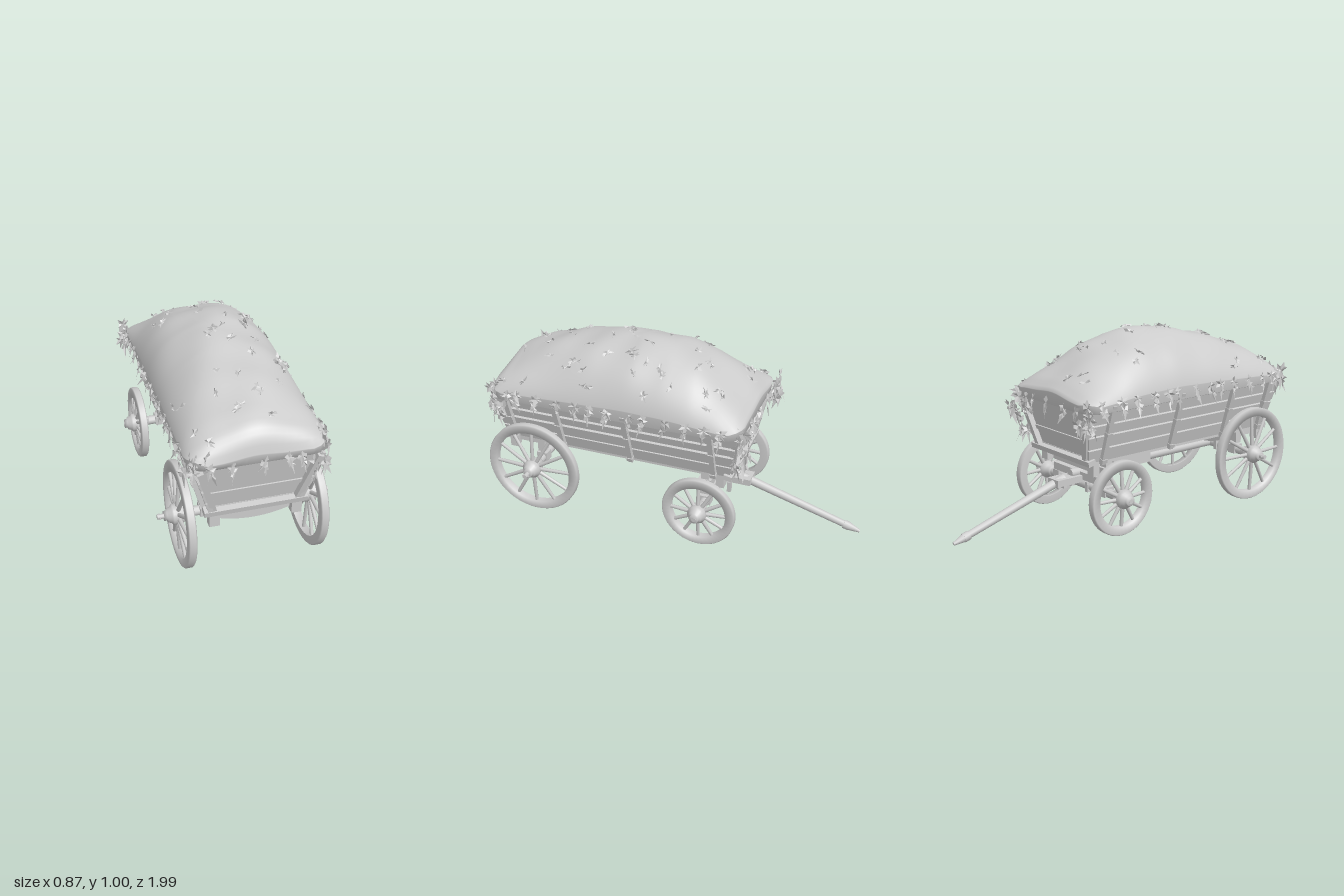
import * as THREE from 'three';
import { mergeGeometries } from 'three/addons/utils/BufferGeometryUtils.js';

const mat = new THREE.MeshStandardMaterial({ color: 0xcccccc });
const thin = new THREE.MeshStandardMaterial({ color: 0xcccccc, side: THREE.DoubleSide, flatShading: true });

let seed = 11;
const rnd = (a = 0, b = 1) => {
  seed = (seed * 16807) % 2147483647;
  return a + (b - a) * (seed / 2147483647);
};

function add(parent, name, geo, x = 0, y = 0, z = 0, material = mat) {
  const m = new THREE.Mesh(geo, material);
  m.name = name;
  m.position.set(x, y, z);
  parent.add(m);
  return m;
}
const box = (parent, name, w, h, d, x, y, z) => add(parent, name, new THREE.BoxGeometry(w, h, d), x, y, z);
const lathe = (pts, n) => new THREE.LatheGeometry(pts.map(p => new THREE.Vector2(...p)), n);

// Round bar between two points
function bar(parent, name, a, b, r0, r1 = r0, sides = 12) {
  const A = new THREE.Vector3(...a), B = new THREE.Vector3(...b), d = B.clone().sub(A);
  const m = add(parent, name, new THREE.CylinderGeometry(r1, r0, d.length(), sides));
  m.position.copy(A).lerp(B, 0.5);
  m.quaternion.setFromUnitVectors(new THREE.Vector3(0, 1, 0), d.normalize());
  return m;
}

// Wheel with its axis along local y, outer face towards +y
function wheel(R, pin) {
  const g = new THREE.Group();
  const t = 0.02, r = R - 0.046;
  add(g, 'rim', lathe([[r, -t], [R - 0.006, -t], [R, -t + 0.006], [R, t - 0.006], [R - 0.006, t], [r, t], [r, -t]], 48));
  for (let i = 0; i < 12; i++) {
    const a = (i / 12) * Math.PI * 2, c = Math.cos(a), s = Math.sin(a);
    bar(g, 'spoke', [c * 0.03, 0.012, s * 0.03], [c * (r + 0.008), 0, s * (r + 0.008)], 0.011, 0.009, 8);
  }
  add(g, 'hub', lathe([[0, -0.06], [0.022, -0.06], [0.03, -0.045], [0.032, -0.02], [0.046, -0.015], [0.05, 0.035],
    [0.04, 0.042], [0.034, 0.06], [0.024, 0.064], [0.024, 0.077], [0, 0.077]], 20));
  bar(g, 'axlePin', [0, 0.07, 0], [0, pin, 0], 0.012);
  bar(g, 'linchpin', [0, pin - 0.012, -0.02], [0, pin - 0.012, 0.02], 0.005, 0.005, 6);
  return g;
}

// Trapezoid board between two heights above the floor, following the flare of the sides
const halfWidth = y => 0.21 + y * 0.3;
function endBoard(y0, y1, depth) {
  const w0 = halfWidth(y0), w1 = halfWidth(y1);
  const s = new THREE.Shape([[-w0, y0], [w0, y0], [w1, y1], [-w1, y1]].map(p => new THREE.Vector2(...p)));
  return new THREE.ExtrudeGeometry(s, { depth, bevelEnabled: false });
}

// Side plank whose ends rake outwards with height
function plank(v, h, w) {
  const y0 = v - h / 2, y1 = v + h / 2, front = y => 0.905 + y * 0.14, back = y => -0.35 - y * 0.2;
  const s = new THREE.Shape([[-front(y0), y0], [-back(y0), y0], [-back(y1), y1], [-front(y1), y1]]
    .map(p => new THREE.Vector2(...p)));
  return new THREE.ExtrudeGeometry(s, { depth: w, bevelEnabled: false }).translate(0, 0, -w / 2).rotateY(Math.PI / 2);
}

// Ridge line of the hay load: z, height
const ridge = [[-0.44, 0.68], [-0.425, 0.725], [-0.38, 0.77], [-0.3, 0.825], [-0.15, 0.915], [0, 0.967], [0.17, 0.987],
  [0.4, 0.96], [0.6, 0.915], [0.8, 0.85], [0.89, 0.805], [0.93, 0.755], [0.95, 0.69]];
function ridgeY(z) {
  let i = 1;
  while (i < ridge.length - 1 && z > ridge[i][0]) i++;
  const [a, b] = [ridge[i - 1], ridge[i]];
  return THREE.MathUtils.lerp(a[1], b[1], THREE.MathUtils.clamp((z - a[0]) / (b[0] - a[0]), 0, 1));
}
function hayY(x, z) {
  const lump = 0.006 * Math.sin(x * 19 + z * 9) + 0.004 * Math.sin(z * 23 - x * 11);
  const crown = Math.max(0, 1 - (x / 0.345) ** 2) ** 0.56;
  return 0.66 + (ridgeY(z) - 0.66 + lump) * crown;
}

// Hay load: rings of a rounded rectangle, underside first, then up to the crown
function hayGeometry() {
  const hw = 0.338, hl = 0.69, c = 0.09, N = 112, pos = [], idx = [];
  const outline = new THREE.Shape();
  outline.absarc(hw - c, hl - c, c, 0, Math.PI / 2);
  outline.absarc(c - hw, hl - c, c, Math.PI / 2, Math.PI);
  outline.absarc(c - hw, c - hl, c, Math.PI, Math.PI * 1.5);
  outline.absarc(hw - c, c - hl, c, Math.PI * 1.5, Math.PI * 2);
  outline.closePath();
  const pts = outline.getSpacedPoints(N).slice(0, N);
  const rings = [[0.001, 0.645], [0.6, 0.645], [0.96, 0.645], [0.99, 0.65]];
  for (let i = 0; i <= 24; i++) rings.push([Math.max(0.001, Math.cos((i / 24) * Math.PI / 2)), null]);
  rings.forEach(([s, y], k) => pts.forEach((p, j) => {
    const x = p.x * s, z = 0.26 - p.y * s;
    pos.push(x, y ?? hayY(x, z), z);
    if (k === 0) return;
    const a = (k - 1) * N + j, b = (k - 1) * N + (j + 1) % N;
    idx.push(a, b, b + N, a, b + N, a + N);
  }));
  const g = new THREE.BufferGeometry();
  g.setAttribute('position', new THREE.Float32BufferAttribute(pos, 3));
  g.setIndex(idx);
  g.computeVertexNormals();
  return g;
}

// Ragged leaf of straw in the xy plane, crumpled, with one long tip pointing down
function tuft(w, h) {
  const n = 6, ring = [], pos = [];
  for (let i = 0; i < n * 2; i++) {
    const a = (i / (n * 2)) * Math.PI * 2 + Math.PI / 2 + rnd(-0.2, 0.2);
    const r = i === n ? 1.6 : i % 2 ? rnd(0.4, 0.65) : rnd(0.7, 1.15);
    ring.push([Math.cos(a) * r * w, Math.sin(a) * r * h, rnd(-0.3, 0.3) * w]);
  }
  ring.forEach((p, i) => pos.push(0, 0, 0, ...p, ...ring[(i + 1) % ring.length]));
  const g = new THREE.BufferGeometry();
  g.setAttribute('position', new THREE.Float32BufferAttribute(pos, 3));
  g.computeVertexNormals();
  return g;
}

function straw() {
  const list = [];
  const hang = (x, y, z, facing, w, h) => list.push(tuft(w, h).rotateZ(rnd(-0.4, 0.4)).rotateX(rnd(-0.35, 0.1))
    .rotateY(facing + rnd(-0.5, 0.5)).translate(x, y, z));
  for (const s of [-1, 1]) {
    // Fringe along the sides
    for (let i = 0; i < 13; i++) {
      const z = -0.33 + i * 0.098 + rnd(-0.025, 0.025);
      hang(s * 0.345, 0.695, z, s * Math.PI / 2, 0.036, 0.03);
      hang(s * 0.35, 0.655, z + 0.01, s * Math.PI / 2, 0.024, 0.04);
    }
    // Fringe along the ends
    for (const x of [-0.24, -0.14, 0.01, 0.13, 0.19]) {
      hang(x, 0.66, s > 0 ? 0.955 : -0.44, s > 0 ? 0 : Math.PI, 0.032, 0.035);
      hang(x + 0.01, 0.625, s > 0 ? 0.95 : -0.435, s > 0 ? 0 : Math.PI, 0.02, 0.04);
    }
    // Corner clusters
    for (const [cz, low] of [[0.925, s > 0 ? 0.53 : 0.63], [-0.415, s > 0 ? 0.45 : 0.58]])
      for (let i = 0; i < 16; i++)
        hang(s * rnd(0.24, 0.355), rnd(low, 0.71), cz + rnd(-0.045, 0.03), rnd(0, 6.28), 0.036, 0.045);
  }
  // Loose wisps standing out of the load
  const up = new THREE.Vector3(0, 0, 1), q = new THREE.Quaternion();
  for (let i = 0; i < 52; i++) {
    const x = rnd(-0.31, 0.31), z = -0.36 + (i / 51) * 1.25, e = 0.01;
    const n = new THREE.Vector3(hayY(x - e, z) - hayY(x + e, z), 2 * e, hayY(x, z - e) - hayY(x, z + e)).normalize();
    q.setFromUnitVectors(up, n);
    list.push(tuft(0.036, 0.018).rotateX(rnd(0.2, 1)).rotateZ(rnd(0, 6.28)).applyQuaternion(q)
      .translate(x + n.x * 0.006, hayY(x, z) + n.y * 0.006, z + n.z * 0.006));
  }
  return mergeGeometries(list);
}

export function createModel() {
  const root = new THREE.Group();
  const wagon = new THREE.Group();
  wagon.name = 'hayWagon';
  wagon.position.x = 0.024;
  wagon.rotation.y = -0.04;
  root.add(wagon);

  // Wheels and axles
  for (const [name, R, z, pin] of [['tall', 0.26, 0.715, 0.11], ['small', 0.195, -0.218, 0.08]]) {
    for (const s of [-1, 1]) {
      const w = wheel(R, pin);
      w.name = name + 'Wheel';
      w.position.set(s * 0.32, R, z);
      w.rotation.z = -s * Math.PI / 2;
      wagon.add(w);
      box(wagon, 'axleBlock', 0.05, 0.05, 0.06, s * 0.2, R + 0.005, z);
      box(wagon, 'axleBand', 0.02, 0.054, 0.062, s * 0.07, R, z);
    }
    bar(wagon, 'axle', [-0.3, R, z], [0.3, R, z], 0.024);
  }

  // Undercarriage: reach, bolsters, sills
  bar(wagon, 'reach', [0, 0.262, 0.72], [0, 0.262, -0.3], 0.024);
  box(wagon, 'reachBand', 0.055, 0.055, 0.26, 0, 0.262, 0.1);
  box(wagon, 'bolster', 0.42, 0.04, 0.07, 0, 0.25, -0.218);
  box(wagon, 'bolster', 0.46, 0.045, 0.07, 0, 0.31, -0.218);
  box(wagon, 'hitchBlock', 0.09, 0.035, 0.2, 0, 0.235, -0.31);
  box(wagon, 'hitchHook', 0.025, 0.06, 0.02, 0.055, 0.2, -0.3);
  const belly = new THREE.Shape();
  belly.moveTo(-0.19, 0.38).lineTo(-0.19, 0.325).quadraticCurveTo(0, 0.26, 0.19, 0.325).lineTo(0.19, 0.38);
  add(wagon, 'saddle', new THREE.ExtrudeGeometry(belly, { depth: 0.26, bevelEnabled: false, curveSegments: 16 }), 0, 0, 0.61);
  box(wagon, 'floor', 0.43, 0.02, 1.22, 0, 0.39, 0.27);
  for (const s of [-1, 1]) {
    box(wagon, 'sill', 0.05, 0.025, 1.24, s * 0.2, 0.375, 0.27);
    for (const z of [0.88, 0.715, -0.218, -0.3]) box(wagon, 'sillBlock', 0.05, 0.07, 0.04, s * 0.2, 0.335, z);
  }

  // Draw pole
  bar(wagon, 'drawPole', [0, 0.245, -0.34], [0, 0.065, -0.93], 0.024, 0.018);
  bar(wagon, 'poleCollar', [0, 0.069, -0.915], [0, 0.06, -0.945], 0.023, 0.023);
  bar(wagon, 'poleTip', [0, 0.06, -0.945], [0, 0.043, -1.0], 0.021, 0.008);

  // Flared sides: backing, planks and stakes
  for (const s of [-1, 1]) {
    const side = new THREE.Group();
    side.name = 'sideWall';
    side.position.set(s * 0.215, 0.38, 0);
    side.rotation.z = -s * 0.291;
    wagon.add(side);
    add(side, 'backing', plank(0.14, 0.28, 0.01), -s * 0.006);
    for (const [v, h] of [[0.035, 0.07], [0.112, 0.065], [0.185, 0.045], [0.262, 0.04]])
      add(side, 'plank', plank(v, h, 0.018), s * 0.004);
    for (const z of [0.85, 0.57, 0.185, -0.27]) {
      box(side, 'stake', 0.022, 0.33, 0.027, s * 0.024, 0.155, z);
      for (const v of [0.01, 0.16]) box(side, 'stakeClamp', 0.028, 0.02, 0.032, s * 0.026, v, z);
    }
  }

  // Raked end boards with corner posts and cross beams
  for (const [z, s] of [[0.865, 1], [-0.325, -1]]) {
    const end = new THREE.Group();
    end.name = s > 0 ? 'frontEnd' : 'backEnd';
    end.position.set(0, 0.38, z);
    end.rotation.x = s * 0.2;
    wagon.add(end);
    add(end, 'endBoard', endBoard(0, 0.1, 0.016), 0, 0, -0.008);
    add(end, 'endBoard', endBoard(0.115, 0.27, 0.016), 0, 0, -0.008);
    add(end, 'endRail', endBoard(0.095, 0.118, 0.03), 0, 0, -0.015);
    box(end, 'crossBeam', 0.5, 0.028, 0.045, 0, 0.005, s * 0.02);
    for (const k of [-1, 1])
      box(end, 'cornerPost', 0.03, 0.28, 0.03, k * 0.242, 0.14, s * 0.022).rotation.z = -k * 0.291;
  }

  // Load
  add(wagon, 'hayLoad', hayGeometry());
  add(wagon, 'strawTufts', straw(), 0, 0, 0, thin);
  return root;
}
